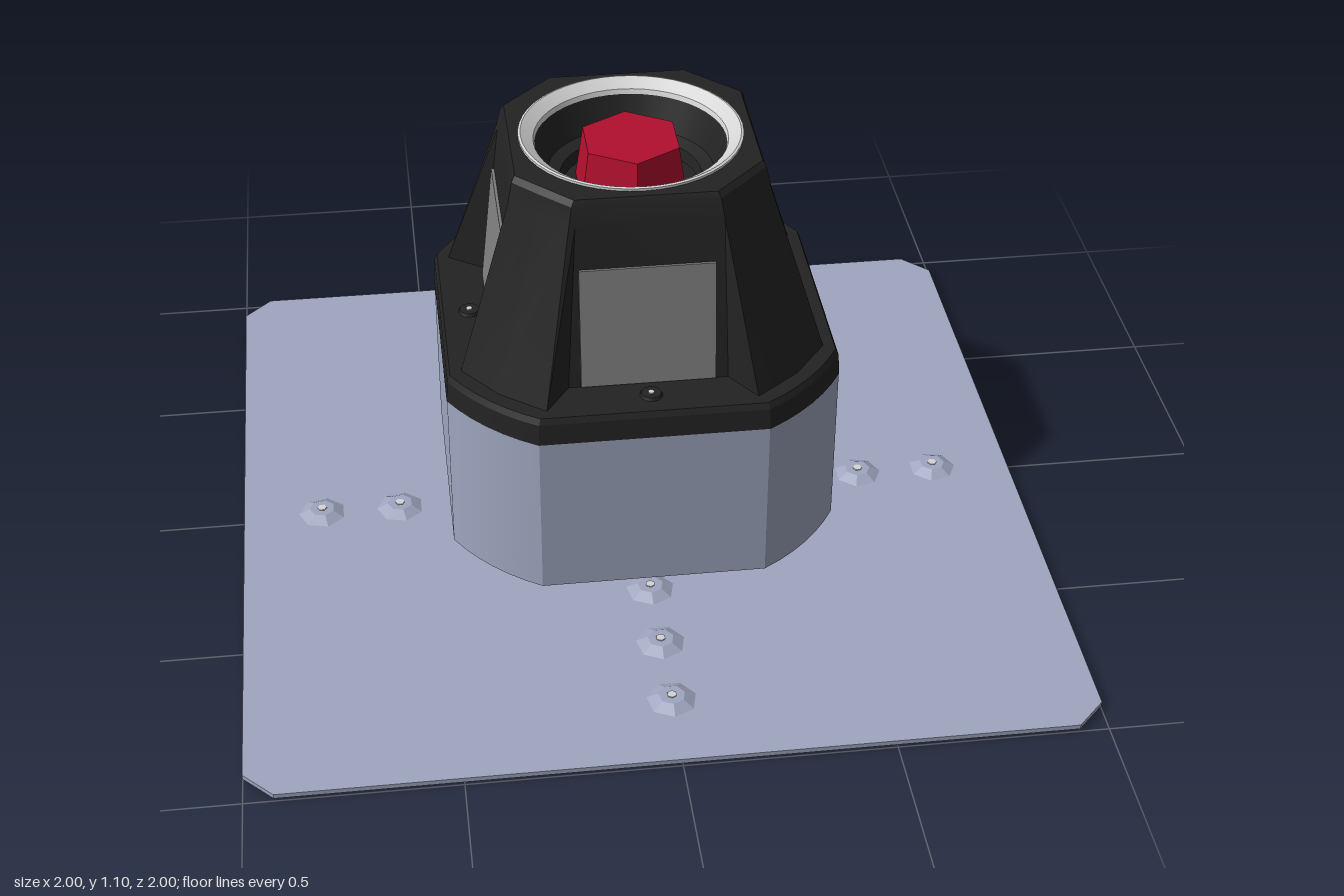
import * as THREE from 'three';
import { toCreasedNormals } from 'three/addons/utils/BufferGeometryUtils.js';

const paint = (name, color) => new THREE.MeshStandardMaterial({ name, color });

// Repeats one quadrant of [x, z] points around the vertical axis
function fourfold(quad) {
  const out = [];
  for (let k = 0; k < 4; k++) {
    const c = Math.round(Math.cos(k * Math.PI / 2)), s = Math.round(Math.sin(k * Math.PI / 2));
    for (const [x, z] of quad) out.push([x * c - z * s, x * s + z * c]);
  }
  return out;
}

// Square with circular corners: flats at distance d, flat half length h
function roundedSquare(d, h) {
  const r = Math.hypot(d, h), a0 = Math.atan2(h, d), quad = [];
  for (let i = 0; i <= 6; i++) {
    const a = a0 + (Math.PI / 2 - 2 * a0) * i / 6;
    quad.push([r * Math.cos(a), r * Math.sin(a)]);
  }
  return fourfold(quad);
}

// Skins a stack of equal-length rings: [{ y, ring }]
function loft(levels) {
  const pos = [], idx = [], n = levels[0].ring.length;
  for (const { y, ring } of levels) for (const [x, z] of ring) pos.push(x, y, z);
  for (let l = 0; l < levels.length - 1; l++) {
    for (let i = 0; i < n; i++) {
      const a = l * n + i, b = l * n + (i + 1) % n;
      idx.push(b, a, a + n, b, a + n, b + n);
    }
  }
  const g = new THREE.BufferGeometry();
  g.setAttribute('position', new THREE.Float32BufferAttribute(pos, 3));
  g.setIndex(idx);
  return toCreasedNormals(g, 0.35);
}

// Flat lid on a ring, facing up or down, with an optional round hole
function lid(ring, y, up = true, hole = 0) {
  const shape = new THREE.Shape(ring.map(([x, z]) => new THREE.Vector2(x, z)));
  if (hole) shape.holes.push(new THREE.Path().absarc(0, 0, hole, 0, Math.PI * 2, true));
  return new THREE.ShapeGeometry(shape, 24).rotateX(up ? -Math.PI / 2 : Math.PI / 2).translate(0, y, 0);
}

const lathe = (pts, seg = 48) =>
  toCreasedNormals(new THREE.LatheGeometry(pts.map(p => new THREE.Vector2(...p)), seg), 0.5);

export function createModel() {
  const model = new THREE.Group();
  const steel = paint('blueSteel', 0x9fa6bf);
  const black = paint('blackPlastic', 0x232323);
  const grey = paint('windowGrey', 0x808080);
  const red = paint('buttonRed', 0xb30f2e);
  const silver = paint('silver', 0xd4d4d4);
  const dark = paint('pedestalGrey', 0x646a67);
  const gold = paint('gold', 0xc89000);
  const add = (name, geo, mat, parent = model) => {
    const m = new THREE.Mesh(geo, mat);
    m.name = name;
    parent.add(m);
    return m;
  };

  // Base plate with clipped corners
  const plateRing = fourfold([[1, 0.93], [0.93, 1]]);
  const plate = new THREE.Group();
  plate.name = 'basePlate';
  model.add(plate);
  add('plateEdge', loft([{ y: 0.008, ring: plateRing }, { y: 0.02, ring: plateRing }]), steel, plate);
  add('plateTop', lid(plateRing, 0.02), steel, plate);
  add('plateUnderside', lid(plateRing, 0.008, false), steel, plate);

  // Flared pedestal, its foot under the plate, and the central plug
  add('pedestal', lathe([[0, 0.02], [0.27, 0.02], [0.27, 0.035], [0.25, 0.065], [0.238, 0.095], [0.235, 0.13]]), dark);
  add('pedestalFoot', new THREE.CylinderGeometry(0.265, 0.265, 0.006, 40).translate(0, 0.007, 0), steel);
  add('centrePlug', new THREE.CylinderGeometry(0.1, 0.1, 0.004, 8).translate(0, 0.002, 0), gold);

  // Lower housing
  const bodyRing = roundedSquare(0.474, 0.272);
  const body = new THREE.Group();
  body.name = 'housing';
  model.add(body);
  add('housingWall', loft([{ y: 0.12, ring: bodyRing }, { y: 0.548, ring: bodyRing }]), steel, body);
  add('housingUnderside', lid(bodyRing, 0.12, false), steel, body);

  // Black collar
  const collarTop = roundedSquare(0.464, 0.267);
  const collar = new THREE.Group();
  collar.name = 'collar';
  model.add(collar);
  add('collarWall', loft([
    { y: 0.546, ring: roundedSquare(0.475, 0.273) },
    { y: 0.6, ring: roundedSquare(0.471, 0.271) },
    { y: 0.615, ring: collarTop }]), black, collar);
  add('collarTop', lid(collarTop, 0.615), black, collar);

  // Tapered hood: four flaring corner ribs with set-back faces between
  const hoodRing = (ia, ib, oa, ob, m) => fourfold([[ia, ib], [oa, ob], [m, m], [ob, oa], [ib, ia]]);
  const hoodTop = hoodRing(0.289, 0.15, 0.29, 0.165, 0.2275);
  const hood = new THREE.Group();
  hood.name = 'hood';
  model.add(hood);
  add('hoodShell', loft([
    { y: 0.61, ring: hoodRing(0.35, 0.19, 0.438, 0.25, 0.356) },
    { y: 1.03, ring: hoodRing(0.306, 0.165, 0.308, 0.18, 0.245) },
    { y: 1.08, ring: hoodRing(0.296, 0.155, 0.298, 0.172, 0.236) },
    { y: 1.094, ring: hoodTop }]), black, hood);
  add('hoodTop', lid(hoodTop, 1.094, true, 0.255), black, hood);

  // Recess, rim and button
  add('recess', lathe([[0, 0.95], [0.165, 0.95], [0.17, 0.98], [0.2, 0.99], [0.232, 1.075]]), black);
  add('rim', lathe([[0.228, 1.07], [0.232, 1.082], [0.262, 1.102], [0.268, 1.1], [0.268, 1.09]].reverse()), silver)
    .material.side = THREE.DoubleSide;
  black.side = THREE.DoubleSide;
  const button = new THREE.CylinderGeometry(0.125, 0.145, 0.13, 6).toNonIndexed();
  button.computeVertexNormals();
  add('button', button.translate(0, 1.015, 0), red);

  // Windows, collar screws and plate bolts on all four sides
  const boltGeo = toCreasedNormals(new THREE.CylinderGeometry(0.032, 0.06, 0.015, 7), 0.2);
  for (let k = 0; k < 4; k++) {
    const side = new THREE.Group();
    side.name = 'side' + (k + 1);
    side.rotation.y = k * Math.PI / 2;
    model.add(side);
    const win = add('window', new THREE.BoxGeometry(0.32, 0.306, 0.009), grey, side);
    win.position.set(0, 0.77, 0.336);
    win.rotation.x = -0.104;
    add('collarScrew', new THREE.CylinderGeometry(0.024, 0.028, 0.008, 12).translate(0, 0.618, 0.4), black, side);
    add('collarScrewPin', new THREE.CylinderGeometry(0.008, 0.008, 0.004, 6).translate(0, 0.623, 0.4), silver, side);
    for (const z of [0.4, 0.6, 0.8]) {
      add('bolt', boltGeo, steel, side).position.set(0, 0.0275, z);
      const nut = add('boltUnderside', boltGeo, steel, side);
      nut.position.set(0, 0.0075, z);
      nut.rotation.x = Math.PI;
      add('boltPin', new THREE.CylinderGeometry(0.012, 0.012, 0.003, 6).translate(0, 0.036, z), silver, side);
    }
  }
  return model;
}
